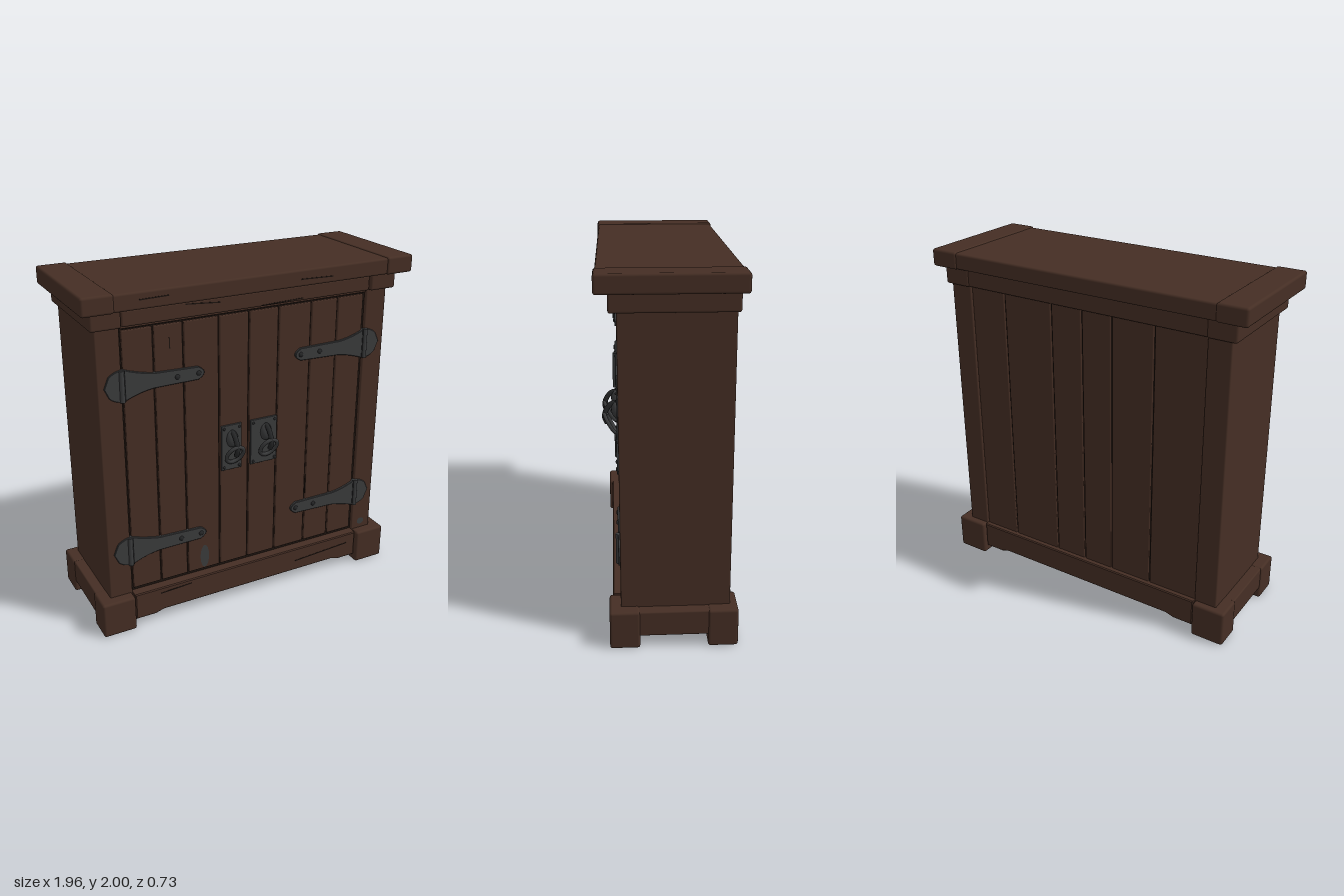
import * as THREE from 'three';
import { RoundedBoxGeometry } from 'three/addons/geometries/RoundedBoxGeometry.js';

const material = (name, color, side = THREE.FrontSide) => {
  const m = new THREE.MeshStandardMaterial({ color, side });
  m.name = name;
  return m;
};

export function createModel() {
  const wood = material('brown wood', 0x452e24);
  const gap = material('dark seam', 0x1c130f);
  const iron = material('dark iron', 0x3a3b3c);
  const ironEdge = material('blackened iron', 0x252627);

  const model = new THREE.Group();
  model.name = 'cabinet';

  const add = (name, geometry, mat, parent = model) => {
    const mesh = new THREE.Mesh(geometry, mat);
    mesh.name = name;
    parent.add(mesh);
    return mesh;
  };

  // Box given by its limits, with softened edges when r > 0
  const block = (name, [x0, x1], [y0, y1], [z0, z1], mat = wood, r = 0.008, parent = model) => {
    const size = [x1 - x0, y1 - y0, z1 - z0];
    const g = r > 0 ? new RoundedBoxGeometry(...size, 2, r) : new THREE.BoxGeometry(...size);
    const mesh = add(name, g, mat, parent);
    mesh.position.set((x0 + x1) / 2, (y0 + y1) / 2, (z0 + z1) / 2);
    return mesh;
  };
  const span = (s, a, b) => (s > 0 ? [a, b] : [-b, -a]);

  // Dark core showing through the seams
  block('core', [-0.8, 0.8], [0.1, 1.88], [-0.298, 0.24], gap, 0);

  // Sides, feet, cornice corners and top end caps, mirrored
  for (const s of [1, -1]) {
    block('sidePanel', span(s, 0.755, 0.89), [0.18, 1.84], [-0.32, 0.26]);
    for (const [z0, z1] of [[0.16, 0.32], [-0.36, -0.2]]) {
      block('foot', span(s, 0.76, 0.957), [0, 0.215], [z0, z1], wood, 0.014);
    }
    block('sideRail', span(s, 0.77, 0.95), [0.07, 0.212], [-0.25, 0.21]);
    block('corniceCorner', span(s, 0.755, 0.92), [1.8, 1.91], [-0.335, 0.3], wood, 0.012);
    block('topEnd', span(s, 0.81, 0.982), [1.9, 2], [-0.367, 0.367], wood, 0.014);
  }

  // Top and cornice
  block('topBoard', [-0.83, 0.83], [1.902, 1.994], [-0.36, 0.36], wood, 0.012);
  block('corniceFront', [-0.75, 0.75], [1.802, 1.888], [0.2, 0.29], wood, 0.01);
  block('corniceBack', [-0.765, 0.765], [1.802, 1.91], [-0.33, -0.2], wood, 0.01);
  block('corniceGap', [-0.76, 0.76], [1.86, 1.91], [0.2, 0.275], gap, 0);
  block('lintel', [-0.75, 0.75], [1.784, 1.82], [0.2, 0.258], wood, 0.005);

  // Base: shaped front and back rails with a floor between
  const railShape = new THREE.Shape([
    [-0.755, 0.05], [-0.63, 0.05], [-0.58, 0.065], [0.58, 0.065], [0.63, 0.05],
    [0.755, 0.05], [0.755, 0.215], [-0.755, 0.215],
  ].map((p) => new THREE.Vector2(...p)));
  for (const [name, z] of [['frontRail', 0.215], ['backRail', -0.335]]) {
    add(name, new THREE.ExtrudeGeometry(railShape, {
      depth: 0.08, bevelSize: 0.006, bevelOffset: -0.006, bevelThickness: 0.006, bevelSegments: 1,
    }), wood).position.z = z;
  }
  block('floor', [-0.93, 0.93], [0.075, 0.2], [-0.32, 0.28], wood, 0);

  // Vertical planks between listed seams
  const planks = (name, seams, ys, zs) => {
    for (let i = 0; i < seams.length - 1; i++) {
      block(name, [seams[i] + 0.004, seams[i + 1] - 0.004], ys, zs, wood, 0.006);
    }
  };
  planks('doorPlank', [-0.748, -0.57, -0.4, -0.19, -0.006], [0.235, 1.774], [0.2, 0.255]);
  planks('doorPlank', [-0.006, 0.18, 0.39, 0.565, 0.742], [0.235, 1.774], [0.2, 0.255]);
  planks('backPlank', [-0.757, -0.45, -0.19, 0, 0.2, 0.52, 0.757], [0.2, 1.815], [-0.31, -0.25]);

  // Worn cracks: x, y, length, angle, z
  for (const [x, y, len, angle, z] of [
    [0.18, 1.812, 0.26, 0.03, 0.29], [-0.3, 1.868, 0.2, -0.08, 0.29],
    [0.5, 0.142, 0.38, 0.06, 0.301], [-0.5, 0.185, 0.2, 0.05, 0.301],
    [-0.48, 1.67, 0.06, Math.PI / 2, 0.255], [0.39, 0.62, 0.1, Math.PI / 2, 0.255],
    [-0.6, 1.955, 0.16, 0.02, 0.36], [0.35, 1.94, 0.2, -0.03, 0.36],
  ]) {
    const crack = add('crack', new THREE.BoxGeometry(len, 0.006, 0.004), gap);
    crack.position.set(x, y, z);
    crack.rotation.z = angle;
  }

  // Strap hinges, drawn for the +x side
  const strapShape = new THREE.Shape();
  strapShape.moveTo(0.855, 0);
  strapShape.lineTo(0.83, 0.055);
  strapShape.quadraticCurveTo(0.8, 0.085, 0.75, 0.088);
  strapShape.quadraticCurveTo(0.67, 0.05, 0.58, 0.04);
  strapShape.lineTo(0.32, 0.037);
  strapShape.quadraticCurveTo(0.25, 0, 0.32, -0.037);
  strapShape.lineTo(0.58, -0.045);
  strapShape.quadraticCurveTo(0.67, -0.06, 0.75, -0.092);
  strapShape.quadraticCurveTo(0.8, -0.088, 0.83, -0.06);
  strapShape.closePath();

  for (const s of [1, -1]) {
    for (const y of [1.48, 0.49]) {
      const hinge = new THREE.Group();
      hinge.name = 'strapHinge';
      hinge.position.set(0, y, 0);
      if (s < 0) { // turned half round so the strap faces forward on the other door
        hinge.rotation.z = Math.PI;
      }
      add('strap', new THREE.ExtrudeGeometry(strapShape, {
        depth: 0.018, bevelEnabled: true, bevelSize: 0.003, bevelOffset: -0.003,
        bevelThickness: 0.003, bevelSegments: 1, curveSegments: 6,
      }), iron, hinge).position.z = 0.248;
      const pin = add('hingePin', new THREE.CylinderGeometry(0.015, 0.015, 0.175, 10), iron, hinge);
      pin.position.set(0.757, 0, 0.266);
      block('hingeSeam', [0.738, 0.742], [-0.085, 0.085], [0.26, 0.272], ironEdge, 0, hinge);
      for (const x of [0.32, 0.445]) {
        const rivet = add('rivet', new THREE.SphereGeometry(0.015, 10, 6), ironEdge, hinge);
        rivet.position.set(x, 0, 0.268);
        rivet.scale.z = 0.6;
      }
      model.add(hinge);
    }
  }

  // Door handles: back plate, hook and hanging ring
  const hookPath = new THREE.CatmullRomCurve3([
    [0, 1.09, 0.26], [0, 1.085, 0.29], [0, 1.045, 0.325], [0, 1.0, 0.335], [0, 0.965, 0.32],
  ].map((p) => new THREE.Vector3(...p)));
  for (const [x, x0, x1] of [[-0.118, -0.183, -0.055], [0.1, 0.003, 0.175]]) {
    const handle = new THREE.Group();
    handle.name = 'doorHandle';
    block('handlePlate', [x0, x1], [0.857, 1.135], [0.245, 0.266], iron, 0.004, handle);
    const boss = add('handleBoss', new THREE.SphereGeometry(0.036, 12, 8), iron, handle);
    boss.position.set(x, 1.05, 0.268);
    boss.scale.set(1, 1.45, 0.8);
    add('handleHook', new THREE.TubeGeometry(hookPath, 14, 0.015, 8), ironEdge, handle).position.x = x;
    const ring = add('handleRing', new THREE.TorusGeometry(0.052, 0.011, 8, 24), iron, handle);
    ring.position.set(x, 0.965, 0.305);
    ring.rotation.x = 0.5;
    ring.scale.y = 1.25;
    for (const px of [x0 + 0.016, x1 - 0.016]) {
      for (const y of [0.876, 1.116]) {
        const nail = add('plateNail', new THREE.SphereGeometry(0.008, 8, 6), ironEdge, handle);
        nail.position.set(px, y, 0.267);
      }
    }
    model.add(handle);
  }

  // Grey stains on the front
  for (const [x, y, rx, ry, z] of [[-0.293, 0.32, 0.028, 0.075, 0.257], [0.82, 0.262, 0.025, 0.022, 0.262]]) {
    const stain = add('stain', new THREE.CircleGeometry(1, 16), iron);
    stain.position.set(x, y, z);
    stain.scale.set(rx, ry, 1);
  }

  return model;
}
